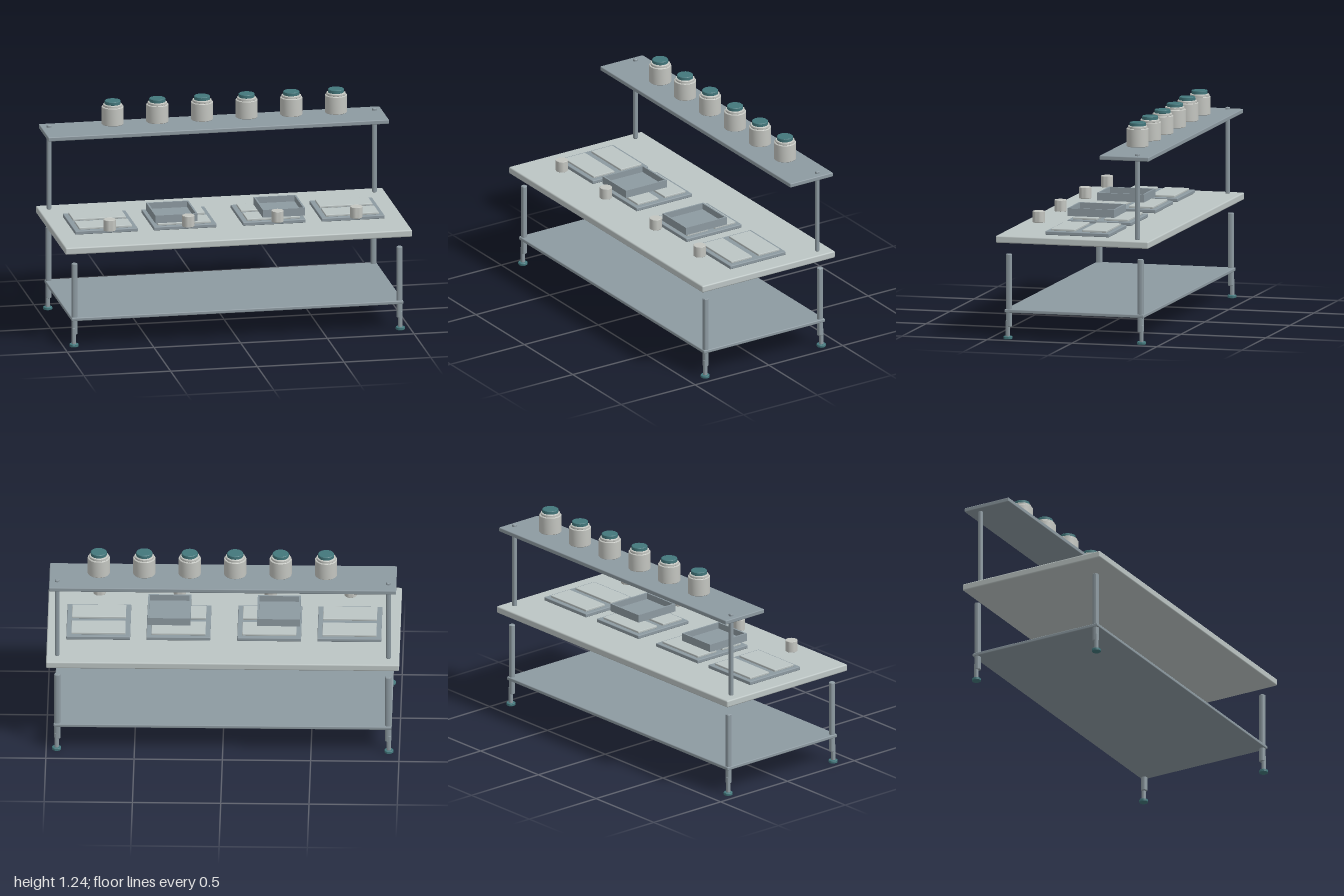
import * as THREE from 'three';
import { RoundedBoxGeometry } from 'three/addons/geometries/RoundedBoxGeometry.js';
import { toCreasedNormals } from 'three/addons/utils/BufferGeometryUtils.js';

const material = (name, color) => {
  const m = new THREE.MeshStandardMaterial({ color });
  m.name = name;
  return m;
};

export function createModel() {
  const root = new THREE.Group();
  root.name = 'prepTable';

  const worktop = material('pale worktop', 0xbcc5c4);
  const steel = material('blue grey steel', 0x8d9aa1);
  const ceramic = material('warm grey ceramic', 0xc3c5c0);
  const teal = material('teal', 0x43777c);

  const add = (parent, name, geometry, mat, x = 0, y = 0, z = 0) => {
    const mesh = new THREE.Mesh(geometry, mat);
    mesh.name = name;
    mesh.position.set(x, y, z);
    parent.add(mesh);
    return mesh;
  };
  const group = (name, x = 0, y = 0, z = 0) => {
    const g = new THREE.Group();
    g.name = name;
    g.position.set(x, y, z);
    root.add(g);
    return g;
  };
  // Box with softened edges, given by its bottom and top heights
  const slab = (parent, name, mat, w, y0, y1, d, x = 0, z = 0, r = 0.005) =>
    add(parent, name, new RoundedBoxGeometry(w, y1 - y0, d, 2, r), mat, x, (y0 + y1) / 2, z);
  // Upright cylinder with bevelled rims
  const rod = (parent, name, mat, r, y0, y1, x = 0, z = 0, bevel = 0.003, sides = 24) => {
    const profile = [
      [0, y0], [r - bevel, y0], [r, y0 + bevel],
      [r, y1 - bevel], [r - bevel, y1], [0, y1],
    ].map(([a, b]) => new THREE.Vector2(a, b));
    return add(parent, name, toCreasedNormals(new THREE.LatheGeometry(profile, sides), 0.6), mat, x, 0, z);
  };

  // Worktop and the two shelves
  slab(root, 'tableTop', worktop, 2, 0.556, 0.597, 0.9, 0, 0, 0.008);
  slab(root, 'lowerShelf', steel, 1.914, 0.152, 0.172, 0.82);
  slab(root, 'upperShelf', steel, 1.966, 1.053, 1.078, 0.29, 0, -0.302);

  // Legs with adjustable feet, and posts for the upper shelf
  for (const sx of [-1, 1]) {
    for (const sz of [-1, 1]) {
      const leg = group('leg');
      rod(leg, 'legTube', steel, 0.0175, 0.07, 0.487, sx * 0.937, sz * 0.387);
      rod(leg, 'legStem', steel, 0.0125, 0.012, 0.11, sx * 0.941, sz * 0.393);
      rod(leg, 'foot', teal, 0.026, 0, 0.017, sx * 0.941, sz * 0.393);
    }
    rod(root, 'shelfPost', steel, 0.0135, 0.597, 1.091, sx * 0.938, -0.368);
  }

  // Row of jars above the upper shelf
  for (let i = 0; i < 6; i++) {
    const jar = group('jar', -0.584 + i * 0.2575, 0, -0.303);
    rod(jar, 'jarBody', ceramic, 0.063, 1.098, 1.202, 0, 0, 0.003, 32);
    rod(jar, 'jarNeck', ceramic, 0.055, 1.2, 1.216, 0, 0, 0.003, 32);
    rod(jar, 'jarLid', teal, 0.046, 1.214, 1.236, 0, 0, 0.003, 20);
  }

  // Four stations: a base, two plates and a cup each
  for (const x of [-0.713, -0.259, 0.255, 0.709]) {
    const station = group('station', x);
    slab(station, 'stationBase', steel, 0.362, 0.597, 0.618, 0.376, 0, 0, 0.004);
    for (const s of [-1, 1]) {
      slab(station, 'stationPlate', worktop, 0.306, 0.617, 0.63, 0.142, 0, s * 0.092, 0.003);
    }
    rod(station, 'cup', ceramic, 0.035, 0.64, 0.705, 0, 0.278, 0.002);
  }

  // Two open trays
  const w = 0.244, d = 0.276, t = 0.01, y0 = 0.64, y1 = 0.685;
  for (const s of [-1, 1]) {
    const tray = group('tray', s * 0.31, 0, 0.05);
    add(tray, 'trayFloor', new THREE.BoxGeometry(w, 0.01, d), steel, 0, y0 + 0.005, 0);
    const h = y1 - y0 - 0.01, y = y1 - h / 2;
    for (const k of [-1, 1]) {
      add(tray, 'traySide', new THREE.BoxGeometry(t, h, d), steel, k * (w - t) / 2, y, 0);
      add(tray, 'trayEnd', new THREE.BoxGeometry(w - 2 * t, h, t), steel, 0, y, k * (d - t) / 2);
    }
  }
  return root;
}
